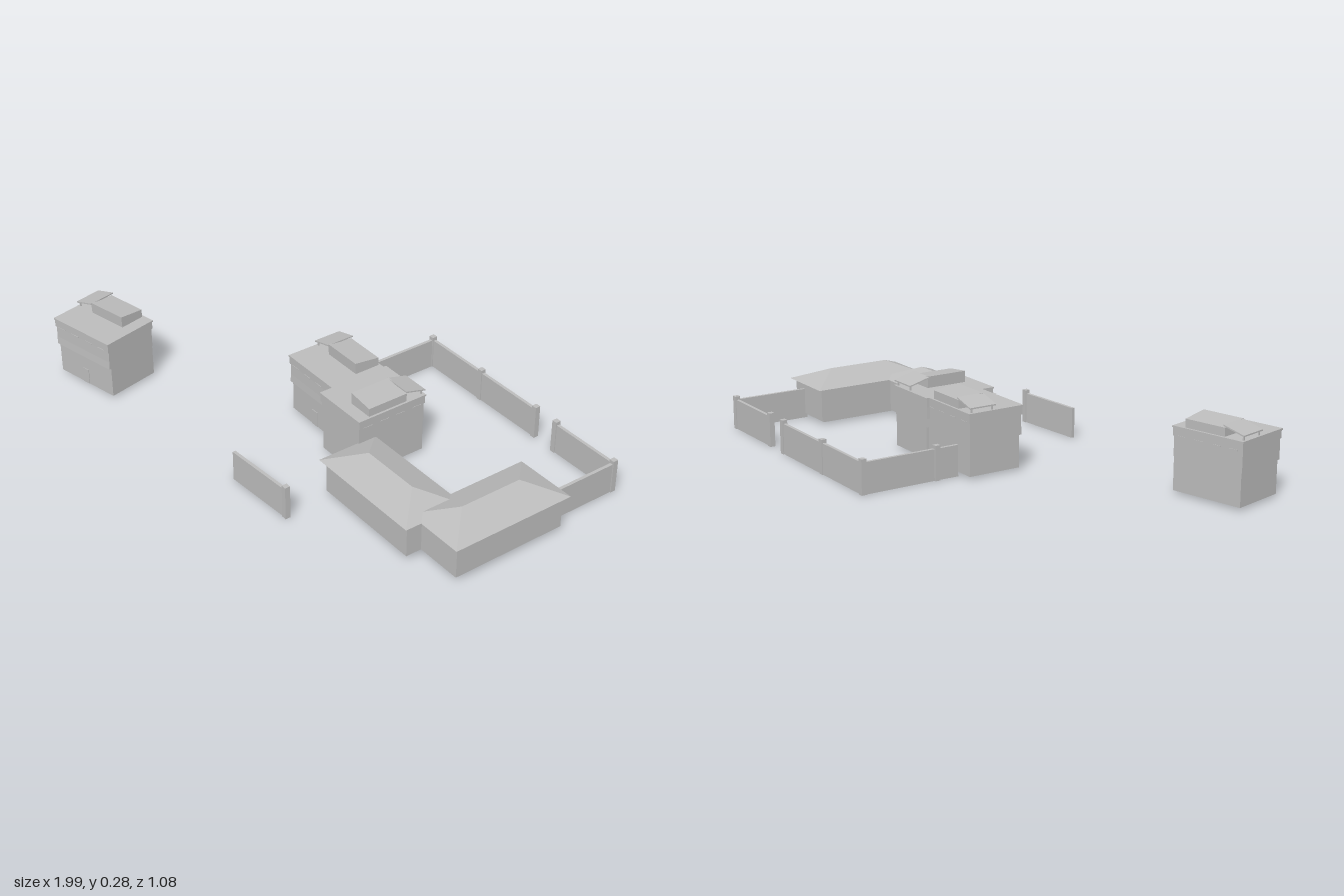
import * as THREE from 'three';

const grey = new THREE.MeshStandardMaterial({ color: 0xbcbcbc });
grey.name = 'plain grey';

function add(parent, name, geometry) {
  const mesh = new THREE.Mesh(geometry, grey);
  mesh.name = name;
  parent.add(mesh);
  return mesh;
}

// Box given by its lower and upper limits on each axis
function box(parent, name, x0, x1, y0, y1, z0, z1) {
  const mesh = add(parent, name, new THREE.BoxGeometry(x1 - x0, y1 - y0, z1 - z0));
  mesh.position.set((x0 + x1) / 2, (y0 + y1) / 2, (z0 + z1) / 2);
  return mesh;
}

function extrude(points, depth) {
  const shape = new THREE.Shape(points.map(([x, y]) => new THREE.Vector2(x, y)));
  return new THREE.ExtrudeGeometry(shape, { depth, bevelEnabled: false });
}

// Side profile of (z, y) points swept along x
function sweepX(parent, name, profile, x0, x1) {
  const geometry = extrude(profile.map(([z, y]) => [-z, y]), x1 - x0);
  geometry.rotateY(Math.PI / 2).translate(x0, 0, 0);
  return add(parent, name, geometry);
}

// Two-storey block with an overhanging upper floor and a rooftop room
function tower(parent, name, x, z, turn) {
  const g = new THREE.Group();
  g.name = name;
  g.position.set(x, 0, z);
  g.rotation.y = turn;
  parent.add(g);

  box(g, 'lowerFloor', -0.138, 0.138, 0.01, 0.13, -0.107, 0.1);
  sweepX(g, 'upperFloor',
    [[-0.107, 0.13], [0.11, 0.13], [0.108, 0.16], [0.107, 0.205], [-0.107, 0.205]], -0.14, 0.14);
  box(g, 'cornice', -0.142, 0.142, 0.204, 0.234, -0.111, 0.111);
  box(g, 'flatRoof', -0.1445, 0.1445, 0.233, 0.239, -0.1135, 0.1135);

  // Narrow slot windows under the cornice
  for (const side of [-1, 1]) {
    for (const sx of [-0.105, -0.035, 0.035, 0.105]) {
      const sz = side * 0.1115;
      box(g, 'slotWindow', sx - 0.018, sx + 0.018, 0.203, 0.207, sz - 0.001, sz + 0.001);
    }
  }
  box(g, 'frontDoor', -0.02, 0.012, 0.01, 0.07, 0.1, 0.102);

  // Rooftop room with a sloping top, and a lean-to canopy beside it
  sweepX(g, 'rooftopRoom',
    [[-0.105, 0.239], [-0.006, 0.239], [-0.004, 0.282], [-0.105, 0.27]], -0.065, 0.096);
  const canopy = add(g, 'canopy',
    extrude([[-0.143, 0.254], [-0.06, 0.276], [-0.06, 0.281], [-0.143, 0.259]], 0.108));
  canopy.position.z = -0.109;
  for (const pz of [-0.1, -0.014]) {
    box(g, 'canopyPost', -0.137, -0.132, 0.237, 0.258, pz, pz + 0.005);
  }
  return g;
}

// Hipped roof: rectangular eaves and a ridge along x
function hipRoof(length, width, eave, ridge, inset) {
  const l = length / 2, w = width / 2, r = l - inset;
  const a = [-l, eave, -w], b = [l, eave, -w], c = [l, eave, w], d = [-l, eave, w];
  const p = [-r, ridge, 0], q = [r, ridge, 0];
  const faces = [d, c, q, d, q, p, b, a, p, b, p, q, c, b, q, a, d, p, a, b, c, a, c, d];
  const geometry = new THREE.BufferGeometry();
  geometry.setAttribute('position', new THREE.Float32BufferAttribute(faces.flat(), 3));
  geometry.computeVertexNormals();
  return geometry;
}

function wing(parent, name, x, z, length, width, turn) {
  const g = new THREE.Group();
  g.name = name;
  g.position.set(x, 0, z);
  g.rotation.y = turn;
  parent.add(g);
  const block = (part, inset, y0, y1) => box(g, part,
    -length / 2 + inset, length / 2 - inset, y0, y1, -width / 2 + inset, width / 2 - inset);
  block('plinth', 0.034, 0.006, 0.02);
  block('walls', 0.018, 0.018, 0.145);
  add(g, 'hipRoof', hipRoof(length, width, 0.143, 0.192, 0.12));
}

// Wall panel between two ground points
function fence(parent, x0, z0, x1, z1) {
  const length = Math.hypot(x1 - x0, z1 - z0);
  const wall = add(parent, 'fenceWall', new THREE.BoxGeometry(length, 0.115, 0.012));
  wall.position.set((x0 + x1) / 2, 0.0575, (z0 + z1) / 2);
  wall.rotation.y = Math.atan2(z0 - z1, x1 - x0);
}

export function createModel() {
  const model = new THREE.Group();
  model.name = 'walledCompound';

  tower(model, 'detachedTower', -0.8525, 0.3165, 0);

  // Everything else shares one slightly turned ground plan
  const compound = new THREE.Group();
  compound.name = 'compound';
  compound.rotation.y = -0.227;
  model.add(compound);

  tower(compound, 'leftTower', -0.0095, -0.0235, 0);
  tower(compound, 'rightTower', 0.2195, -0.0035, -Math.PI / 2);
  wing(compound, 'frontWing', 0.554, 0.179, 0.472, 0.236, 0);
  wing(compound, 'sideWing', 0.846, -0.005, 0.482, 0.242, Math.PI / 2);

  const runs = [
    [-0.085, -0.142, -0.085, -0.522], [-0.085, -0.522, 0.491, -0.522],
    [0.601, -0.518, 0.887, -0.518], [0.887, -0.518, 0.887, -0.22],
    [0.075, 0.479, 0.355, 0.459],
  ];
  for (const run of runs) fence(compound, ...run);

  const posts = [
    [-0.087, -0.229], [-0.085, -0.522], [0.195, -0.522], [0.491, -0.522],
    [0.601, -0.518], [0.887, -0.518], [0.355, 0.459],
  ];
  for (const [x, z] of posts) {
    box(compound, 'fencePost', x - 0.01, x + 0.01, 0, 0.128, z - 0.01, z + 0.01);
  }
  return model;
}
